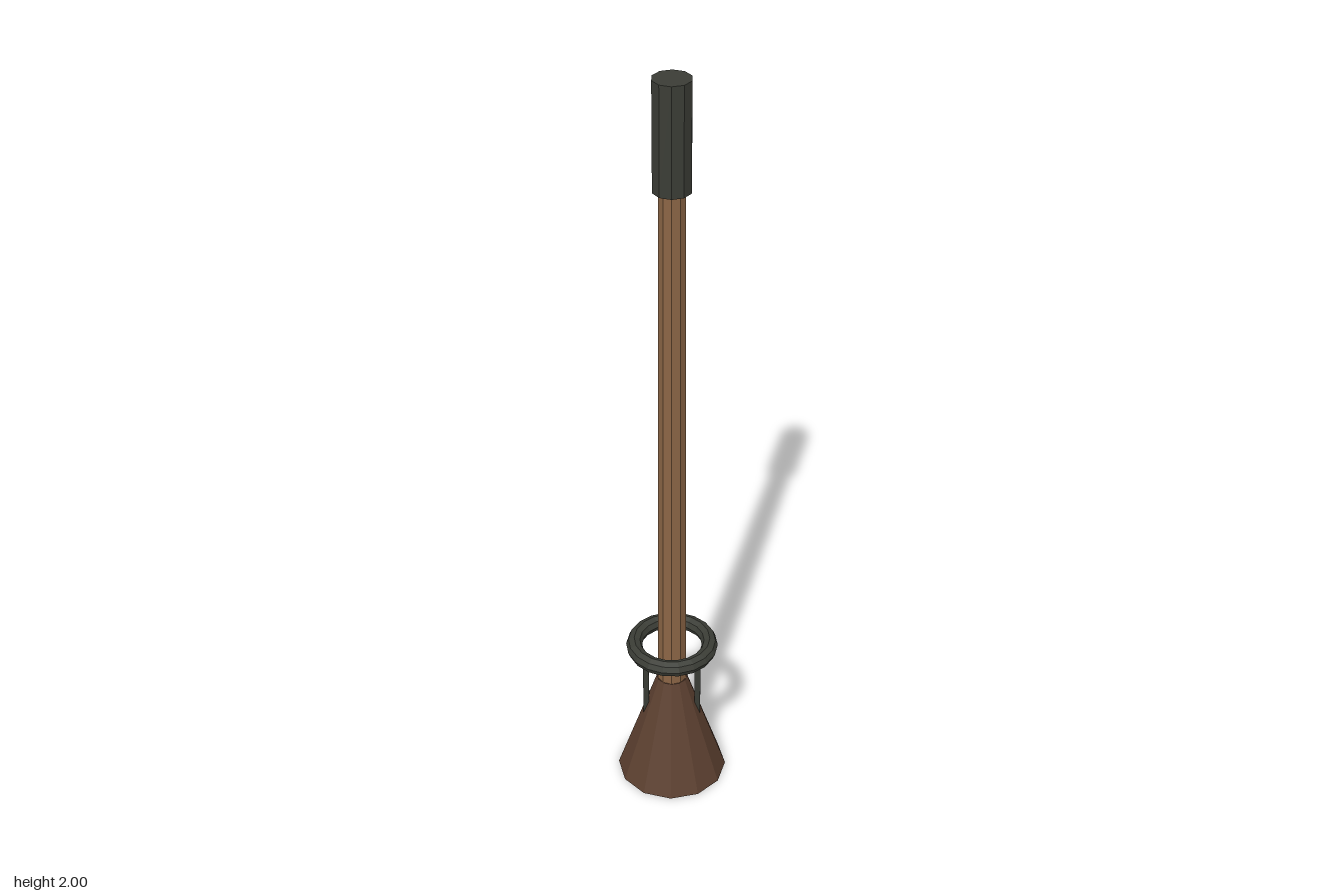
import * as THREE from 'three';

export function createModel() {
  const model = new THREE.Group();
  const material = (name, color) => {
    const m = new THREE.MeshStandardMaterial({ color, flatShading: true });
    m.name = name;
    return m;
  };
  const wood = material('wood', 0x8b6545);
  const darkWood = material('darkWood', 0x5c4030);
  const iron = material('iron', 0x3b3d36);

  const add = (name, geometry, mat, x, y, z) => {
    const mesh = new THREE.Mesh(geometry, mat);
    mesh.name = name;
    mesh.position.set(x, y, z);
    model.add(mesh);
    return mesh;
  };

  // Flared foot
  add('base', new THREE.CylinderGeometry(0.04, 0.145, 0.31, 12), darkWood, 0, 0.155, 0);

  // Slightly tapered pole and its grip
  add('shaft', new THREE.CylinderGeometry(0.033, 0.039, 1.5, 10), wood, 0, 1.03, 0);
  add('grip', new THREE.CylinderGeometry(0.047, 0.047, 0.27, 10), iron, 0, 1.865, 0);

  // Horizontal ring around the pole
  const ring = add('ring', new THREE.TorusGeometry(0.099, 0.021, 8, 18), iron, 0, 0.415, 0);
  ring.rotation.x = Math.PI / 2;

  // Pair of leaning prongs rising from the foot
  for (const side of [-1, 1]) {
    const prong = add(side > 0 ? 'leftProng' : 'rightProng',
      new THREE.BoxGeometry(0.015, 0.19, 0.02), iron, side * 0.068, 0.26, 0.013);
    prong.rotation.x = 0.08;
  }

  return model;
}
